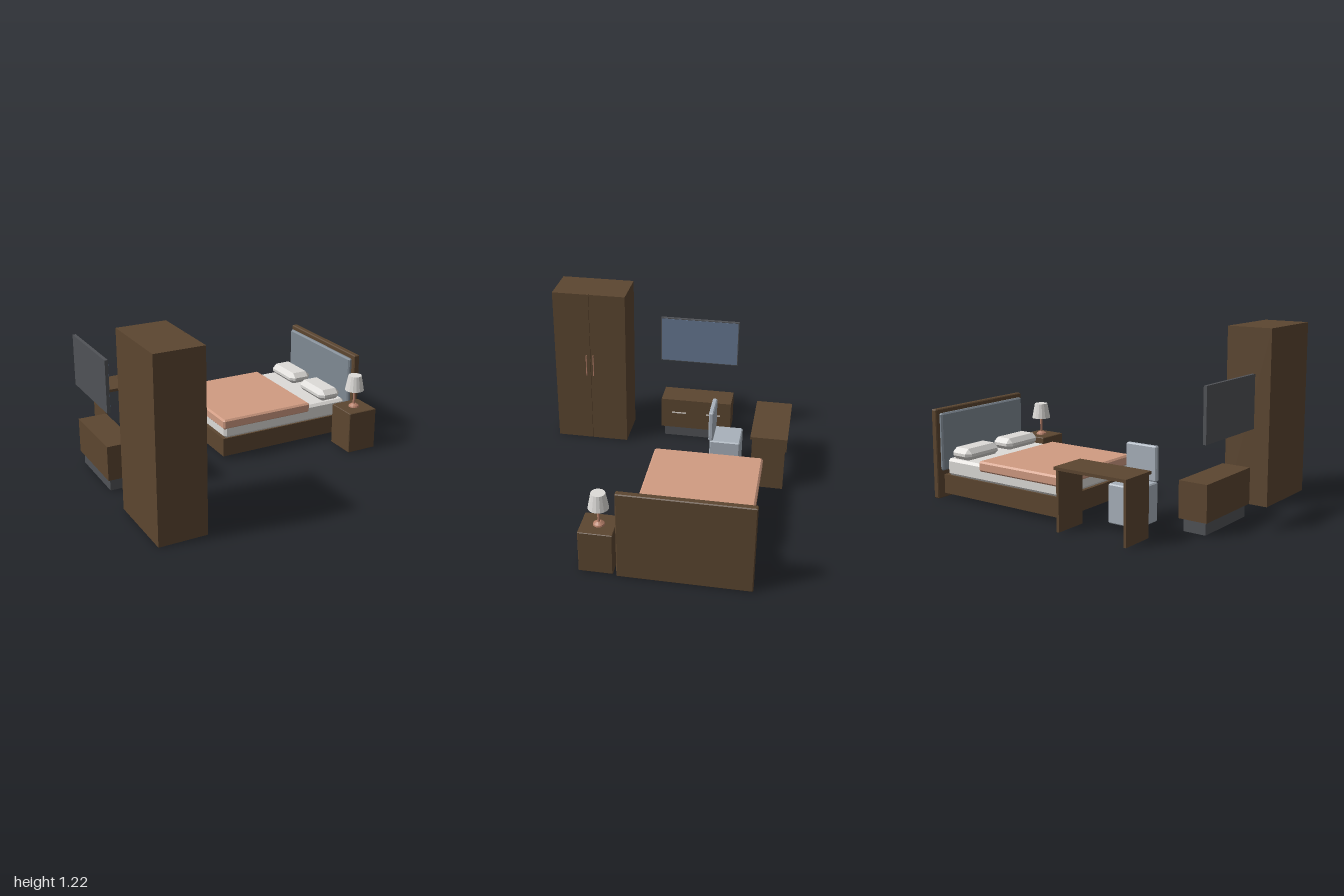
import * as THREE from 'three';
import { ConvexGeometry } from 'three/addons/geometries/ConvexGeometry.js';

const colour = (name, hex) => {
  const m = new THREE.MeshStandardMaterial({ color: hex });
  m.name = name;
  return m;
};

export function createModel() {
  const wood = colour('dark wood', 0x5c4630);
  const blanketMat = colour('terracotta fabric', 0xd09b82);
  const linen = colour('white linen', 0xdddbd8);
  const chairMat = colour('pale grey fabric', 0xa8b1bb);
  const panelMat = colour('slate fabric', 0x7f8993);
  const screenMat = colour('blue screen', 0x677993);
  const dark = colour('charcoal', 0x505256);
  const copper = colour('copper', 0xb57f69);
  const metal = colour('light metal', 0xc9c2bc);

  const group = (name, parent) => {
    const g = new THREE.Group();
    g.name = name;
    parent.add(g);
    return g;
  };
  const add = (parent, name, geometry, material) => {
    const mesh = new THREE.Mesh(geometry, material);
    mesh.name = name;
    parent.add(mesh);
    return mesh;
  };
  // Box given by its extents on each axis; a bevel chamfers every edge
  const block = (parent, name, material, [x0, x1], [y0, y1], [z0, z1], bevel = 0) => {
    const size = [x1 - x0, y1 - y0, z1 - z0];
    let geometry;
    if (bevel) {
      const points = [];
      for (const sx of [-1, 1]) for (const sy of [-1, 1]) for (const sz of [-1, 1])
        for (let axis = 0; axis < 3; axis++) {
          const p = size.map((s, i) => s / 2 - (i === axis ? 0 : bevel));
          points.push(new THREE.Vector3(p[0] * sx, p[1] * sy, p[2] * sz));
        }
      geometry = new ConvexGeometry(points);
    } else geometry = new THREE.BoxGeometry(...size);
    const mesh = add(parent, name, geometry, material);
    mesh.position.set((x0 + x1) / 2, (y0 + y1) / 2, (z0 + z1) / 2);
    return mesh;
  };

  const room = new THREE.Group();
  room.name = 'bedroomFurniture';

  // Wardrobe with two doors and upright handles
  const wardrobe = group('wardrobe', room);
  block(wardrobe, 'wardrobeBody', wood, [-1, -0.685], [0, 1.215], [0.36, 0.91]);
  for (const s of [-1, 1]) {
    const edges = [0.635 + s * 0.0015, 0.635 + s * 0.275].sort((a, b) => a - b);
    block(wardrobe, 'wardrobeDoor', wood, [-0.685, -0.67], [0, 1.215], edges);
    const z = 0.64 + s * 0.027;
    block(wardrobe, 'wardrobeHandle', copper, [-0.67, -0.66], [0.55, 0.72], [z - 0.003, z + 0.003]);
  }

  // Wall television
  const television = group('television', room);
  block(television, 'televisionCase', dark, [-1, -0.977], [0.58, 0.94], [-0.462, 0.142]);
  block(television, 'televisionScreen', screenMat, [-0.977, -0.974], [0.586, 0.934], [-0.456, 0.136]);

  // Low media cabinet on a recessed plinth
  const cabinet = group('mediaCabinet', room);
  block(cabinet, 'cabinetPlinth', dark, [-0.98, -0.82], [0, 0.086], [-0.415, 0.08]);
  block(cabinet, 'cabinetBody', wood, [-1, -0.797], [0.086, 0.33], [-0.44, 0.105]);
  for (const z of [-0.305, -0.035])
    block(cabinet, 'cabinetHandle', metal, [-0.797, -0.79], [0.215, 0.223], [z - 0.055, z + 0.055]);

  // Desk with panel legs
  const desk = group('desk', room);
  block(desk, 'deskTop', wood, [-0.73, -0.185], [0.4, 0.42], [-0.91, -0.645]);
  for (const x of [-0.713, -0.203])
    block(desk, 'deskLeg', wood, [x - 0.009, x + 0.009], [0, 0.4], [-0.897, -0.658]);

  // Upholstered chair
  const chair = group('chair', room);
  block(chair, 'chairSeat', chairMat, [-0.575, -0.34], [0, 0.262], [-0.56, -0.335], 0.008);
  block(chair, 'chairBack', chairMat, [-0.575, -0.34], [0.262, 0.497], [-0.36, -0.325], 0.008);

  // Bed
  const bed = group('bed', room);
  block(bed, 'bedBase', wood, [-0.1, 0.955], [0.03, 0.165], [-0.735, 0.018]);
  block(bed, 'mattress', linen, [-0.092, 0.922], [0.165, 0.285], [-0.738, 0.022], 0.018);
  block(bed, 'blanket', blanketMat, [-0.102, 0.61], [0.237, 0.31], [-0.75, 0.03], 0.012);
  block(bed, 'headboard', wood, [0.955, 1], [0, 0.633], [-0.797, 0.08], 0.006);
  block(bed, 'headboardPad', panelMat, [0.925, 0.957], [0.2, 0.605], [-0.772, 0.053], 0.01);
  for (const z of [-0.568, -0.152])
    block(bed, 'pillow', linen, [0.72, 0.897], [0.28, 0.366], [z - 0.162, z + 0.162], 0.033);

  // Bedside table
  const table = group('bedsideTable', room);
  block(table, 'tableBody', wood, [0.757, 0.983], [0, 0.302], [0.105, 0.332], 0.004);

  // Table lamp
  const lamp = group('tableLamp', room);
  lamp.position.set(0.87, 0.3, 0.215);
  const turned = (name, material, rTop, rBottom, y0, y1) => {
    const geometry = new THREE.CylinderGeometry(rTop, rBottom, y1 - y0, 16).toNonIndexed();
    geometry.computeVertexNormals();
    add(lamp, name, geometry, material).position.y = (y0 + y1) / 2;
  };
  turned('lampFoot', copper, 0.036, 0.04, 0, 0.012);
  turned('lampCollar', copper, 0.015, 0.036, 0.012, 0.026);
  turned('lampStem', copper, 0.009, 0.009, 0.02, 0.135);
  turned('lampShade', linen, 0.048, 0.069, 0.131, 0.242);

  return room;
}
